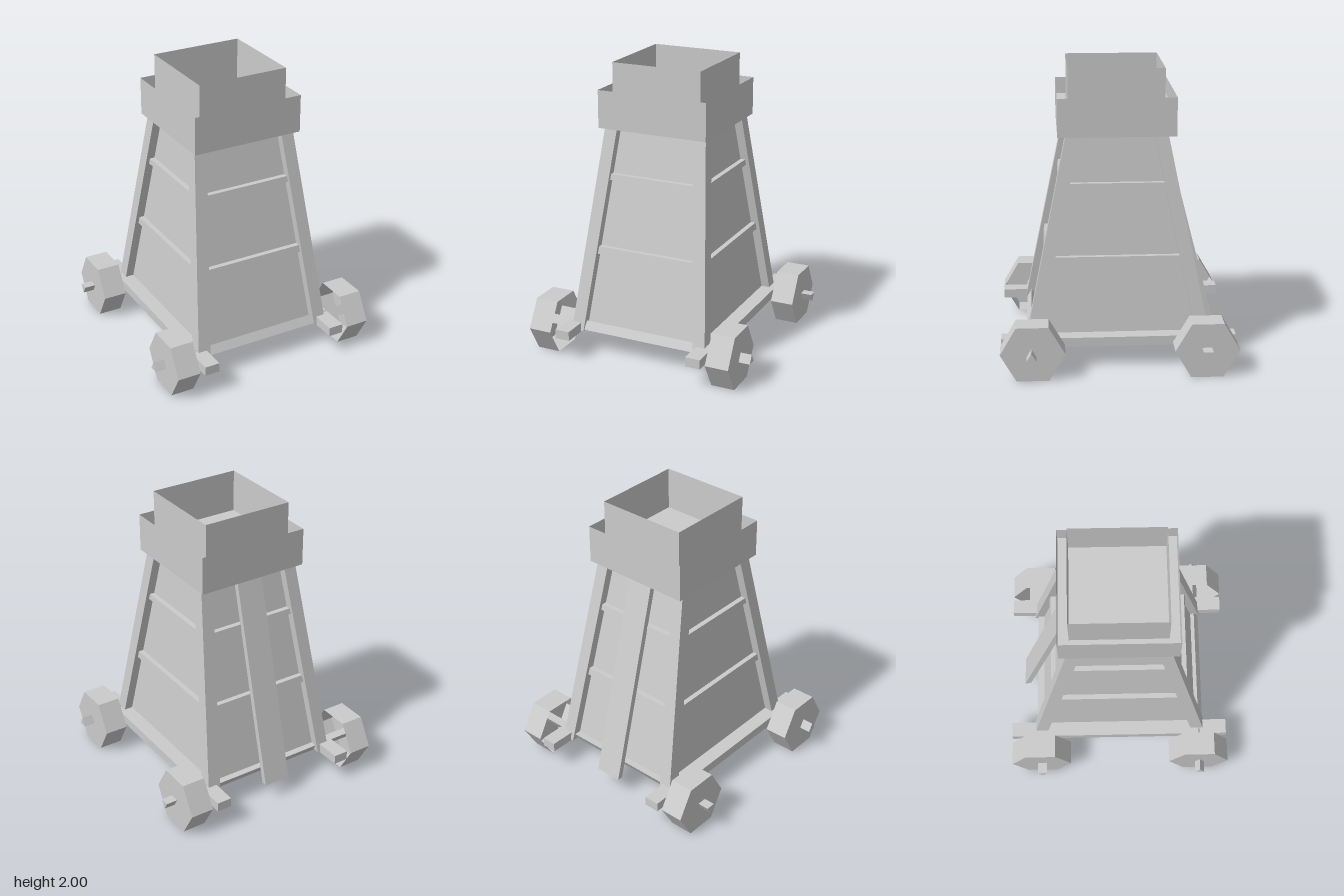
import * as THREE from 'three';

const mat = new THREE.MeshStandardMaterial({ color: 0xcccccc, flatShading: true, side: THREE.DoubleSide });

// Outer half width and half depth of the tapering tower at height y
const halfX = y => 0.5 - (y - 0.2) * 0.0956;
const halfZ = y => 0.62 - (y - 0.2) * 0.205;

export function createModel() {
  const model = new THREE.Group();

  function add(name, geometry, x = 0, y = 0, z = 0) {
    const mesh = new THREE.Mesh(geometry, mat);
    mesh.name = name;
    mesh.position.set(x, y, z);
    model.add(mesh);
    return mesh;
  }

  // Box between two heights whose x and z ranges follow rules of height
  function sloped(name, y0, y1, xRange, zRange) {
    const g = new THREE.BoxGeometry(1, 1, 1);
    const p = g.attributes.position;
    for (let i = 0; i < p.count; i++) {
      const y = p.getY(i) < 0 ? y0 : y1;
      const xs = xRange(y).sort((a, b) => a - b);
      const zs = zRange(y).sort((a, b) => a - b);
      p.setXYZ(i, xs[p.getX(i) < 0 ? 0 : 1], y, zs[p.getZ(i) < 0 ? 0 : 1]);
    }
    g.computeVertexNormals();
    return add(name, g);
  }

  // Open four-sided shell with different half sizes at bottom and top
  function shell(name, y0, y1, bottom, top) {
    const g = new THREE.CylinderGeometry(1, 1, 1, 4, 1, true, Math.PI / 4);
    const p = g.attributes.position;
    for (let i = 0; i < p.count; i++) {
      const low = p.getY(i) < 0;
      const [w, d] = low ? bottom : top;
      p.setXYZ(i, Math.sign(p.getX(i)) * w, low ? y0 : y1, Math.sign(p.getZ(i)) * d);
    }
    g.computeVertexNormals();
    return add(name, g);
  }

  // Recessed plank walls, open below
  const inset = 0.06;
  const ring = y => [halfX(y) - inset, halfZ(y) - inset];
  shell('walls', 0.2, 1.7, ring(0.2), ring(1.7));

  // Corner posts
  for (const sx of [-1, 1]) for (const sz of [-1, 1]) {
    sloped('cornerPost', 0.165, 1.68,
      y => [sx * halfX(y), sx * (halfX(y) - 0.09)],
      y => [sz * halfZ(y), sz * (halfZ(y) - 0.09)]);
  }

  // Horizontal battens on all four walls
  for (const [y0, y1] of [[0.7, 0.75], [1.205, 1.245]]) for (const s of [-1, 1]) {
    sloped('faceBatten', y0, y1,
      y => [-halfX(y) + 0.08, halfX(y) - 0.08],
      y => [s * (halfZ(y) - 0.025), s * (halfZ(y) - 0.07)]);
    sloped('sideBatten', y0, y1,
      y => [s * (halfX(y) - 0.025), s * (halfX(y) - 0.07)],
      y => [-halfZ(y) + 0.08, halfZ(y) - 0.08]);
  }

  // Boarding plank leaning on the back
  const plankZ = y => -0.335 - (1.56 - y) * 0.258;
  sloped('backPlank', 0.128, 1.66, () => [-0.1, 0.09], y => [plankZ(y), plankZ(y) + 0.04]);

  // Overhanging gallery, its floor and the smaller parapet
  shell('gallery', 1.56, 1.82, [0.393, 0.393], [0.393, 0.393]);
  add('galleryFloor', new THREE.BoxGeometry(0.78, 0.01, 0.78), 0, 1.7, 0);
  shell('parapet', 1.7, 2, [0.32, 0.32], [0.32, 0.32]);

  // Base rails
  for (const s of [-1, 1]) {
    add('baseRail', new THREE.BoxGeometry(0.105, 0.065, 1.58), s * 0.488, 0.188, -0.003);
  }

  // Three-sided axles, front apex down and rear apex up
  for (const s of [-1, 1]) {
    const z = s > 0 ? 0.585 : -0.572;
    const g = new THREE.CylinderGeometry(0.038, 0.038, 1.64, 3);
    g.rotateZ(Math.PI / 2);
    g.computeBoundingBox();
    // Turn the triangle so one corner is vertical
    const apexUp = new THREE.Vector3().fromBufferAttribute(g.attributes.position, 0);
    g.rotateX(-Math.PI / 2 * s + Math.atan2(apexUp.y, apexUp.z));
    add('axle', g, 0, 0.193, z);

    // Six-sided wheels, capped on the outside and open on the inside
    for (const sx of [-1, 1]) {
      const rim = new THREE.CylinderGeometry(0.215, 0.215, 0.163, 6, 1, true);
      rim.rotateZ(Math.PI / 2);
      add('wheelRim', rim, sx * 0.66, 0.19, s * 0.577);
      const cap = new THREE.CircleGeometry(0.215, 6);
      cap.rotateY(sx * Math.PI / 2);
      add('wheelFace', cap, sx * 0.7415, 0.19, s * 0.577);
    }
  }

  return model;
}
